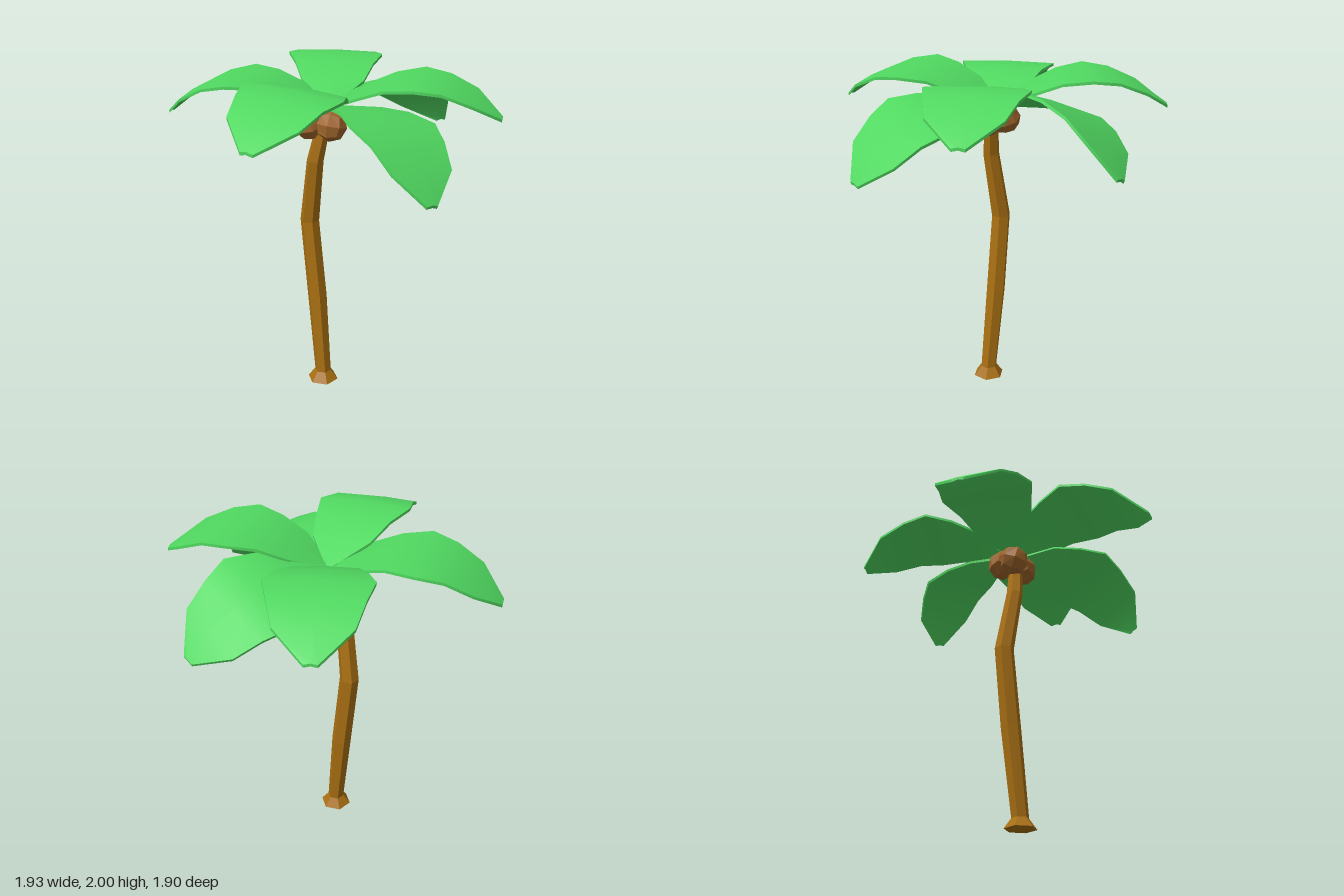
import * as THREE from 'three';

const D = Math.PI / 180;
const bark = new THREE.MeshStandardMaterial({ color: 0xa86f12, flatShading: true });
const shell = new THREE.MeshStandardMaterial({ color: 0xa0662c, flatShading: true });
const green = new THREE.MeshStandardMaterial({ color: 0x50d860 });

// Bent six-sided trunk: each ring is [x, y, z, radius]
function makeTrunk() {
  const rings = [
    [-0.035, 0, 0.075, 0.096], [-0.035, 0.06, 0.073, 0.051], [-0.08, 0.58, 0.035, 0.06],
    [-0.13, 1.07, 0.01, 0.058], [-0.08, 1.47, 0.06, 0.05], [-0.04, 1.65, 0.053, 0.043],
    [-0.01, 1.79, 0.035, 0.04],
  ];
  const n = rings.length - 1;
  const geo = new THREE.CylinderGeometry(1, 1, n, 6, n, false, Math.PI / 2);
  const p = geo.attributes.position;
  for (let i = 0; i < p.count; i++) {
    const [x, y, z, r] = rings[Math.round(p.getY(i) + n / 2)];
    p.setXYZ(i, x + p.getX(i) * r, y, z + p.getZ(i) * r);
  }
  geo.computeVertexNormals();
  return new THREE.Mesh(geo, bark);
}

// Coconut: a subdivided cube pushed out to a sphere
function makeCoconut(radius) {
  const geo = new THREE.BoxGeometry(1, 1, 1, 2, 2, 2);
  const p = geo.attributes.position;
  const v = new THREE.Vector3();
  for (let i = 0; i < p.count; i++) {
    v.fromBufferAttribute(p, i).setLength(radius);
    p.setXYZ(i, v.x, v.y, v.z);
  }
  geo.computeVertexNormals();
  return new THREE.Mesh(geo, shell);
}

// Arched leaf along +x: each station is [distance, height, half width]
function makeLeafGeometry() {
  const stations = [
    [0, 0, 0.012], [0.18, 0.1, 0.18], [0.34, 0.165, 0.232], [0.5, 0.19, 0.285],
    [0.65, 0.17, 0.245], [0.81, 0.105, 0.2], [0.96, 0, 0.035],
  ];
  const n = stations.length - 1;
  const geo = new THREE.BoxGeometry(n, 0.016, 2, n, 1, 2);
  const p = geo.attributes.position;
  for (let i = 0; i < p.count; i++) {
    const [d, h, w] = stations[Math.round(p.getX(i) + n / 2)];
    const ridge = 0.008 * (1 - Math.abs(p.getZ(i)));
    p.setXYZ(i, d, h + p.getY(i) + ridge, p.getZ(i) * w);
  }
  geo.computeVertexNormals();
  return geo;
}

export function createModel() {
  const model = new THREE.Group();
  model.name = 'palmTree';

  const trunk = makeTrunk();
  trunk.name = 'trunk';
  model.add(trunk);

  // Coconuts: [x, y, z, turn]
  const coconuts = new THREE.Group();
  coconuts.name = 'coconuts';
  for (const [x, y, z, turn] of [
    [-0.115, 1.69, 0.065, 0.3], [0.02, 1.69, 0.075, 0.9], [-0.075, 1.695, -0.02, 1.7],
  ]) {
    const nut = makeCoconut(0.094);
    nut.name = 'coconut';
    nut.position.set(x, y, z);
    nut.rotation.set(turn, turn * 1.6, turn * 0.5);
    coconuts.add(nut);
  }
  model.add(coconuts);

  // Leaves: [yaw, pitch, roll in degrees, x, y, z of the stalk]
  const crown = new THREE.Group();
  crown.name = 'crown';
  const leafGeo = makeLeafGeometry();
  for (const [yaw, pitch, roll, x, y, z] of [
    [0, 0, 0, 0, 1.78, 0.033],
    [180, -5, 0, -0.01, 1.785, 0.033],
    [-101, 0, -4, 0, 1.785, 0],
    [101, 0, 1, 0, 1.78, 0],
    [-44, -18, -9, 0.02, 1.78, 0.02],
    [53, -15, -20, -0.01, 1.785, 0.02],
  ]) {
    const leaf = new THREE.Mesh(leafGeo, green);
    leaf.name = 'leaf';
    leaf.position.set(x, y, z);
    const turn = new THREE.Quaternion();
    const q = (ax, ay, az, a) =>
      new THREE.Quaternion().setFromAxisAngle(new THREE.Vector3(ax, ay, az), a * D);
    turn.multiply(q(0, 1, 0, yaw)).multiply(q(0, 0, 1, pitch)).multiply(q(1, 0, 0, roll));
    leaf.quaternion.copy(turn);
    crown.add(leaf);
  }
  model.add(crown);
  return model;
}
